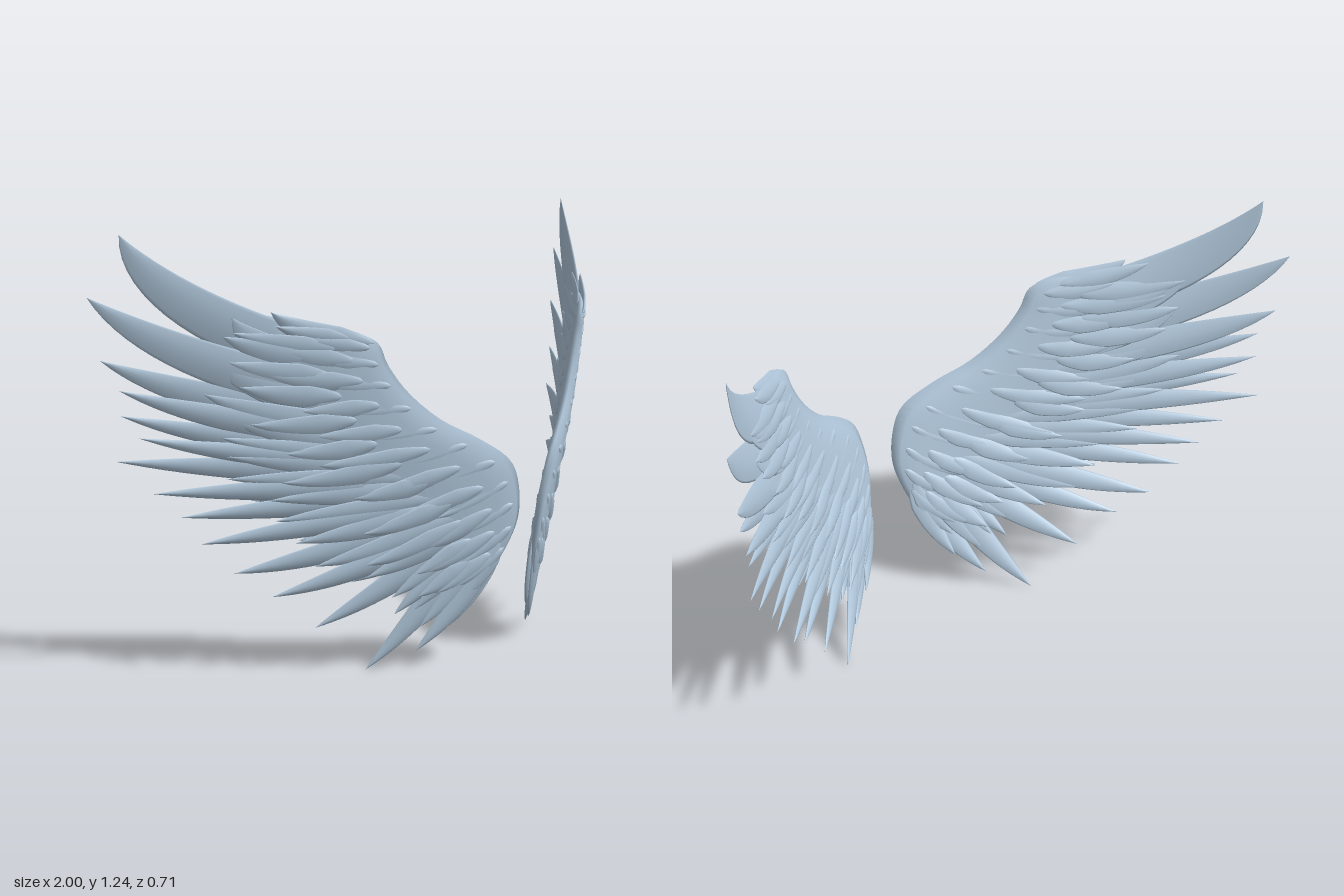
import * as THREE from 'three';

const plumage = new THREE.MeshStandardMaterial({ color: 0xb5cce0 });
plumage.name = 'pale steel blue';

const RING = 12;
const lerp = THREE.MathUtils.lerp;
// Swept-back sheet on which the whole wing lies, leaning less towards the tip
const sheet = (x, y) => 0.466 - 0.5 * x - 0.335 * x * x + (0.21 - 0.15 * x ** 4) * (y - 0.93);

// Joins closed rings of [x, y, depth] points; s = 1 or -1 picks the side
function loft(rows, s) {
  const pos = [], idx = [];
  rows.forEach((row) => row.forEach(([x, y, d]) => pos.push(s * x, y, sheet(x, y) + d)));
  for (let i = 0; i < rows.length - 1; i++) {
    for (let j = 0; j < RING; j++) {
      const a = i * RING + j, b = i * RING + (j + 1) % RING, c = a + RING, d = b + RING;
      if (s > 0) idx.push(a, b, c, b, d, c);
      else idx.push(a, c, b, b, c, d);
    }
  }
  const g = new THREE.BufferGeometry();
  g.setAttribute('position', new THREE.Float32BufferAttribute(pos, 3));
  g.setIndex(idx);
  g.computeVertexNormals();
  return g;
}

// Curved, pointed feather with a raised shaft; off0 and off1 set its depth at root and tip
function feather(root, ctrl, tip, width, off0, off1, tilt, s, thick) {
  const curve = new THREE.QuadraticBezierCurve(
    new THREE.Vector2(...root), new THREE.Vector2(...ctrl), new THREE.Vector2(...tip));
  const rows = [];
  const N = 18;
  for (let i = 0; i <= N; i++) {
    const t = i / N, p = curve.getPoint(t), tan = curve.getTangent(t);
    const k = Math.min(1, Math.sqrt(t * 3)) * (1 - Math.pow(t, 2.8));
    const row = [];
    for (let j = 0; j < RING; j++) {
      const th = (j / RING) * Math.PI * 2;
      const side = Math.cos(th) * k * width / 2;
      const up = Math.sin(th);
      const depth = up * (0.6 + 0.4 * Math.pow(Math.abs(up), 6)) * thick * Math.sqrt(k);
      row.push([p.x - tan.y * side, p.y + tan.x * side,
        lerp(off0, off1, t) + depth + side * tilt]);
    }
    rows.push(row);
  }
  return loft(rows, s);
}

// Leading edge and inner border of the muscular wing arm, bottom to top
const curveOf = (pts) => new THREE.CatmullRomCurve3(pts.map(([x, y]) => new THREE.Vector3(x, y, 0)));
const leading = curveOf([[0.145, 0.18], [0.095, 0.27], [0.062, 0.35], [0.045, 0.43], [0.056, 0.52], [0.09, 0.6],
  [0.18, 0.67], [0.28, 0.73], [0.365, 0.81], [0.42, 0.89], [0.448, 0.95], [0.5, 0.98], [0.58, 0.99], [0.66, 1.0]]);
const inner = curveOf([[0.18, 0.19], [0.21, 0.24], [0.25, 0.29], [0.29, 0.34], [0.34, 0.38], [0.4, 0.43],
  [0.47, 0.5], [0.52, 0.56], [0.56, 0.63], [0.6, 0.7], [0.63, 0.77], [0.65, 0.84], [0.66, 0.9], [0.68, 0.97]]);
const armDepth = (u, f) => 0.066 * Math.sqrt(f) * (1 - f) * Math.pow(Math.sin(Math.PI * u), 0.4);

function wingArm(s) {
  const rows = [];
  for (let i = 0; i <= 48; i++) {
    const u = i / 48, a = leading.getPoint(u), b = inner.getPoint(u), row = [];
    for (let j = 0; j < RING; j++) {
      const th = (j / RING) * Math.PI * 2, f = (1 - Math.cos(th)) / 2;
      row.push([lerp(a.x, b.x, f), lerp(a.y, b.y, f), Math.sign(Math.sin(th)) * armDepth(Math.min(u, 0.9999), f)]);
    }
    rows.push(row);
  }
  return loft(rows, s);
}

// Flight feathers, top to bottom: root, control point, tip, width
const flight = [
  [[0.42, 0.86], [0.86, 0.99], [0.945, 1.245], 0.125],
  [[0.4, 0.78], [0.83, 0.87], [1.0, 1.08], 0.115],
  [[0.4, 0.72], [0.78, 0.78], [0.97, 0.91], 0.095],
  [[0.38, 0.68], [0.74, 0.73], [0.94, 0.83], 0.08],
  [[0.36, 0.64], [0.72, 0.68], [0.93, 0.76], 0.075],
  [[0.33, 0.61], [0.66, 0.635], [0.9, 0.7], 0.07],
  [[0.3, 0.58], [0.65, 0.605], [0.935, 0.635], 0.08],
  [[0.28, 0.55], [0.6, 0.55], [0.865, 0.545], 0.075],
  [[0.25, 0.52], [0.56, 0.5], [0.8, 0.475], 0.075],
  [[0.23, 0.5], [0.54, 0.44], [0.76, 0.4], 0.075],
  [[0.2, 0.47], [0.47, 0.355], [0.68, 0.31], 0.085],
  [[0.18, 0.45], [0.41, 0.3], [0.6, 0.24], 0.08],
  [[0.16, 0.42], [0.32, 0.26], [0.49, 0.14], 0.085],
  [[0.13, 0.38], [0.24, 0.28], [0.32, 0.17], 0.075],
  [[0.14, 0.4], [0.23, 0.18], [0.36, 0.005], 0.085],
  [[0.1, 0.38], [0.15, 0.19], [0.255, 0.055], 0.08],
  [[0.09, 0.38], [0.105, 0.24], [0.175, 0.12], 0.07],
];

function wing(s, label) {
  const group = new THREE.Group();
  group.name = label;
  let seed = 7;
  const rand = () => (seed = (seed * 16807) % 2147483647) / 2147483647;
  const add = (geometry, name) => {
    const mesh = new THREE.Mesh(geometry, plumage);
    mesh.name = name;
    group.add(mesh);
  };

  add(wingArm(s), 'wingArm');

  flight.forEach(([root, ctrl, tip, width], i) => {
    const off = (i % 2) * 0.012 - 0.006;
    add(feather(root, ctrl, tip, width, off, off, 0.12, s, 0.013), 'flightFeather');
  });

  // Shorter feathers closing the gaps between flight feathers, front and back
  const mid = (a, b, k) => [lerp(a[0], b[0], k), lerp(a[1], b[1], k)];
  for (let i = 0; i < flight.length - 1; i++) {
    const [r0, c0, t0, w0] = flight[i], [r1, c1, t1, w1] = flight[i + 1];
    for (const side of [1, -1]) {
      const root = mid(r0, r1, 0.5), ctrl = mid(c0, c1, 0.5), tip = mid(t0, t1, 0.5);
      const k = 0.6 + 0.14 * rand();
      add(feather(root, mid(root, ctrl, k), mid(root, tip, k), (w0 + w1) * 0.45,
        side * 0.013, side * 0.01, 0.12, s, 0.009), 'secondaryFeather');
    }
  }

  // Overlapping covert feathers on both faces of the arm
  const coverts = [[0.5, 0.22, 0.065, 11], [0.28, 0.22, 0.06, 11], [0.1, 0.18, 0.05, 12]];
  for (const [f, length, width, count] of coverts) {
    for (let i = 0; i < count; i++) {
      const u = lerp(0.16, 0.84, i / (count - 1));
      const a = leading.getPoint(u), b = inner.getPoint(u);
      const root = [lerp(a.x, b.x, f), lerp(a.y, b.y, f)];
      for (const side of [1, -1]) {
        const ang = lerp(-68, 26, Math.pow(u, 0.8)) * Math.PI / 180 + (rand() - 0.5) * 0.15;
        const len = length * (0.75 + 0.45 * rand()) * (u < 0.25 ? 0.8 : 1);
        const at = (r, da) => [root[0] + Math.cos(ang + da) * r, root[1] + Math.sin(ang + da) * r];
        add(feather(root, at(len * 0.55, -0.12), at(len, 0.04), width,
          side * armDepth(u, f) * 0.9, side * 0.016, 0.12, s, 0.009), 'covertFeather');
      }
    }
  }

  // Small pointed feather above the wrist
  add(feather([0.46, 0.95], [0.6, 0.965], [0.675, 1.04], 0.07, 0.008, 0.008, 0.1, s, 0.012), 'wristFeather');
  return group;
}

export function createModel() {
  const model = new THREE.Group();
  model.name = 'wings';
  model.add(wing(1, 'leftWing'), wing(-1, 'rightWing'));
  return model;
}
